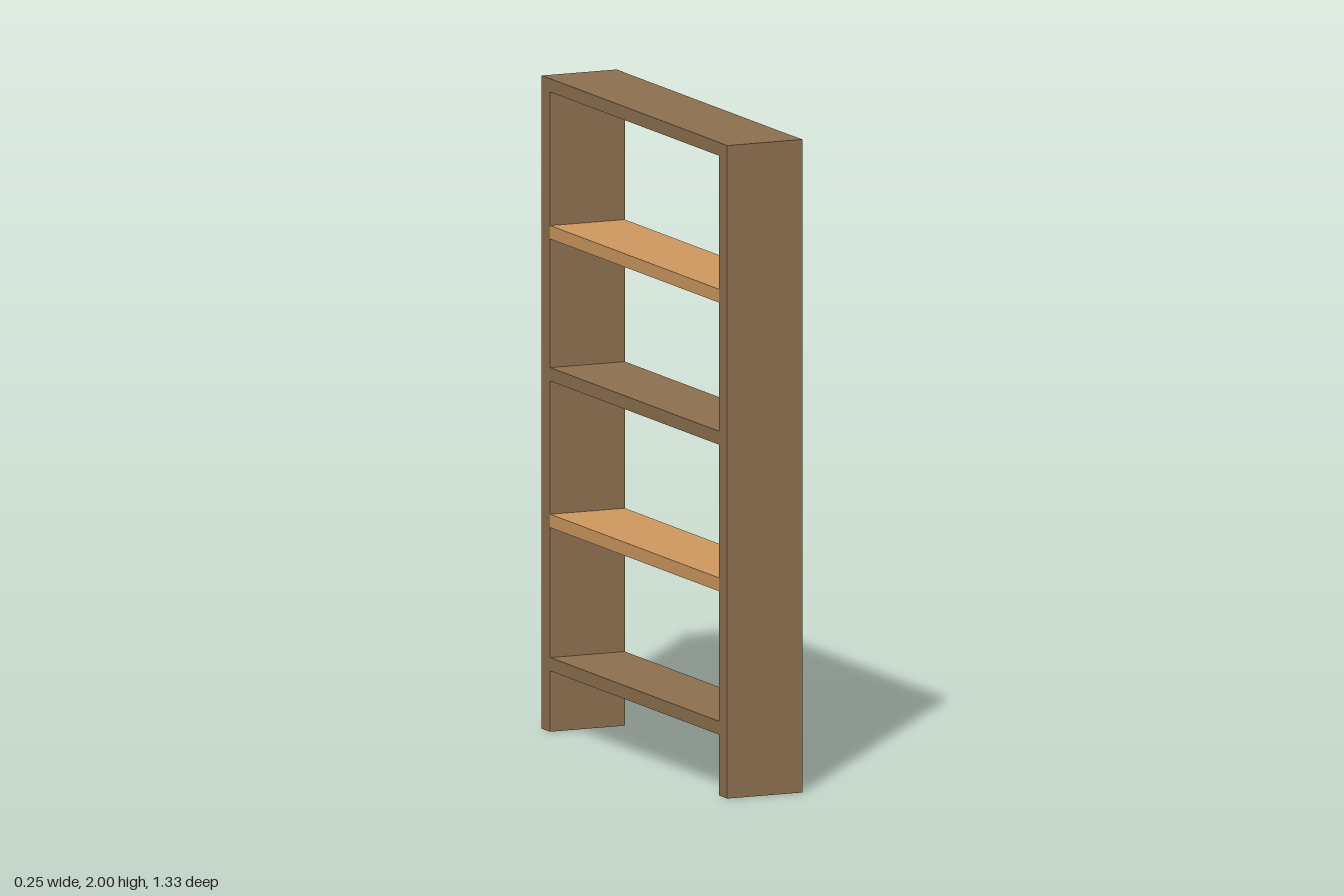
import * as THREE from 'three';

export function createModel() {
  const group = new THREE.Group();
  const darkWood = new THREE.MeshStandardMaterial({ name: 'darkWood', color: 0x8b6f4e });
  const lightWood = new THREE.MeshStandardMaterial({ name: 'lightWood', color: 0xcd9760 });

  const height = 2, depth = 0.25, halfLength = 0.665;
  const panelThickness = 0.06, shelfThickness = 0.041;

  function addBoard(name, size, y, z, material) {
    const board = new THREE.Mesh(new THREE.BoxGeometry(...size), material);
    board.name = name;
    board.position.set(0, y, z);
    group.add(board);
  }

  // Upright side panels at both ends
  for (const [name, side] of [['frontPanel', 1], ['backPanel', -1]]) {
    addBoard(name, [depth, height, panelThickness], height / 2,
      side * (halfLength - panelThickness / 2), darkWood);
  }

  // Shelves between the panels, alternating dark and light wood
  const shelfLength = 2 * (halfLength - panelThickness);
  const shelfTops = [0.227, 0.666, 1.115, 1.55, height];
  shelfTops.forEach((top, i) => {
    const name = i === shelfTops.length - 1 ? 'topBoard' : `shelf${i + 1}`;
    addBoard(name, [depth - 0.002, shelfThickness, shelfLength], top - shelfThickness / 2, 0,
      i % 2 ? lightWood : darkWood);
  });

  return group;
}
